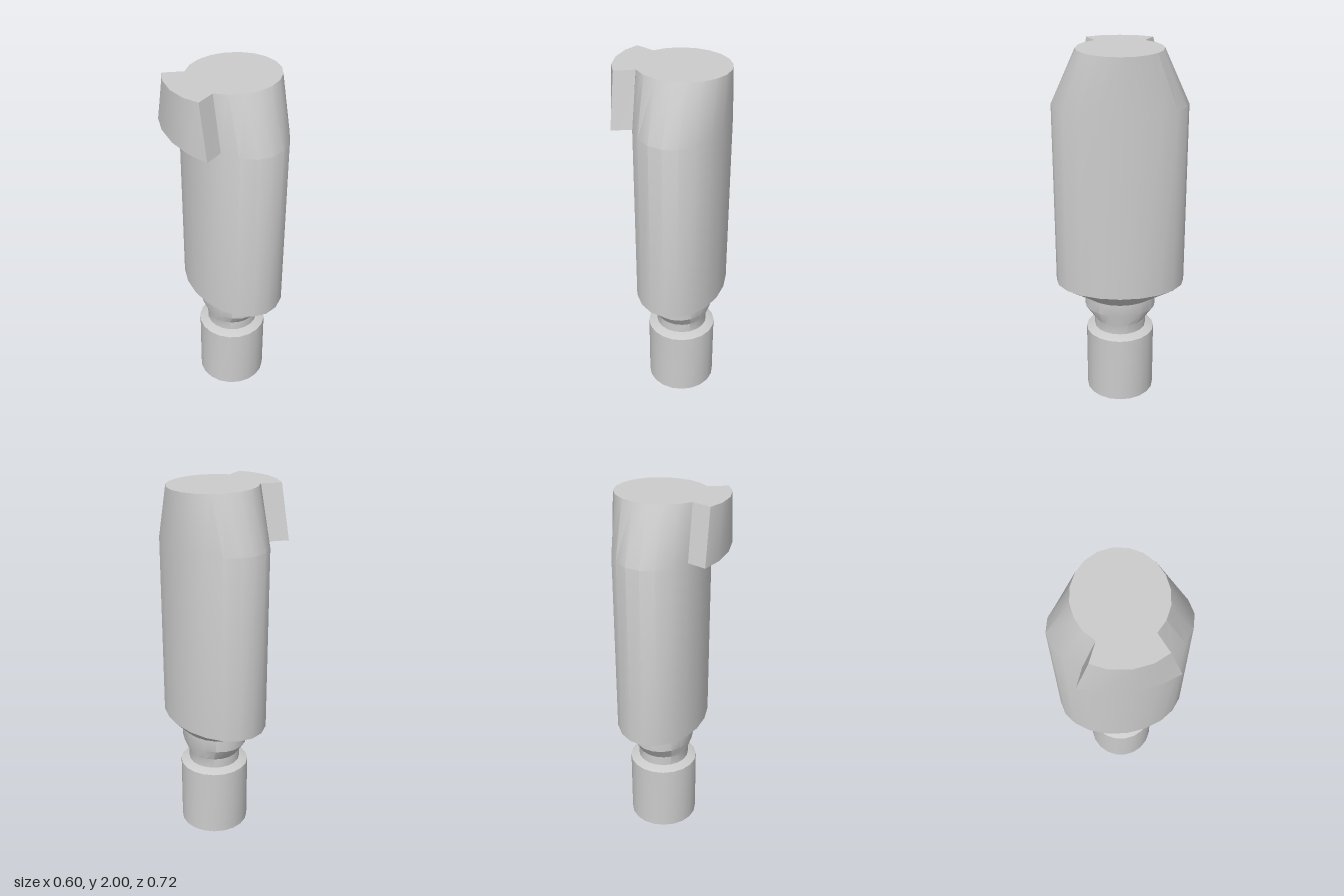
import * as THREE from 'three';
import { toCreasedNormals } from 'three/addons/utils/BufferGeometryUtils.js';

const CX = 0.053; // axis of the pin, offset from the tab side
const SIDES = 20;

// One elliptical cross-section
function ellipse(y, rx, rz) {
  return Array.from({ length: SIDES }, (_, i) => {
    const a = (i / SIDES) * Math.PI * 2;
    return [CX + rx * Math.cos(a), y, rz * Math.sin(a)];
  });
}

// Closed solid through cross-sections listed from bottom to top
function loft(name, rings) {
  const n = rings[0].length;
  const last = (rings.length - 1) * n;
  const points = rings.flat();
  const centre = (ring) => [0, 1, 2].map((k) => ring.reduce((s, p) => s + p[k], 0) / n);
  const bottom = points.push(centre(rings[0])) - 1;
  const top = points.push(centre(rings[rings.length - 1])) - 1;
  const index = [];
  for (let i = 0; i < n; i++) {
    const j = (i + 1) % n;
    for (let r = 0; r < last; r += n) {
      index.push(r + i, r + n + i, r + j, r + j, r + n + i, r + n + j);
    }
    index.push(bottom, i, j, top, last + j, last + i);
  }
  const geometry = new THREE.BufferGeometry();
  geometry.setAttribute('position', new THREE.Float32BufferAttribute(points.flat(), 3));
  geometry.setIndex(index);
  const mesh = new THREE.Mesh(
    toCreasedNormals(geometry, THREE.MathUtils.degToRad(30)),
    new THREE.MeshStandardMaterial({ color: 0xcccccc })
  );
  mesh.name = name;
  return mesh;
}

// Half outline of the tab, mirrored across z = 0
function tabRing(y, zInner, zCorner, zOuter) {
  const half = [[-0.147, y, zInner], [-0.247, y, zCorner], [-0.285, y, zOuter]];
  const mirrored = half.map(([x, h, z]) => [x, h, -z]).reverse();
  return [...half, [-0.3, y, 0], ...mirrored];
}

export function createModel() {
  const group = new THREE.Group();
  group.name = 'pin';

  // Round foot with a small shoulder
  group.add(loft('foot', [
    ellipse(0, 0.193, 0.193),
    ellipse(0.39, 0.193, 0.193),
    ellipse(0.41, 0.145, 0.145),
  ]));

  // Waist, flaring from round to oval
  group.add(loft('neck', [
    ellipse(0.405, 0.145, 0.145),
    ellipse(0.465, 0.145, 0.145),
    ellipse(0.54, 0.172, 0.2),
    ellipse(0.615, 0.172, 0.2),
  ]));

  // Oval body, narrowing front to back at the top
  group.add(loft('body', [
    ellipse(0.61, 0.172, 0.2),
    ellipse(0.69, 0.247, 0.36),
    ellipse(1.71, 0.247, 0.36),
    ellipse(2, 0.247, 0.228),
  ]));

  // Fan-shaped tab on the side of the tip
  group.add(loft('tab', [
    tabRing(1.715, 0.208, 0.25, 0.138),
    tabRing(2, 0.136, 0.18, 0.102),
  ]));

  return group;
}
